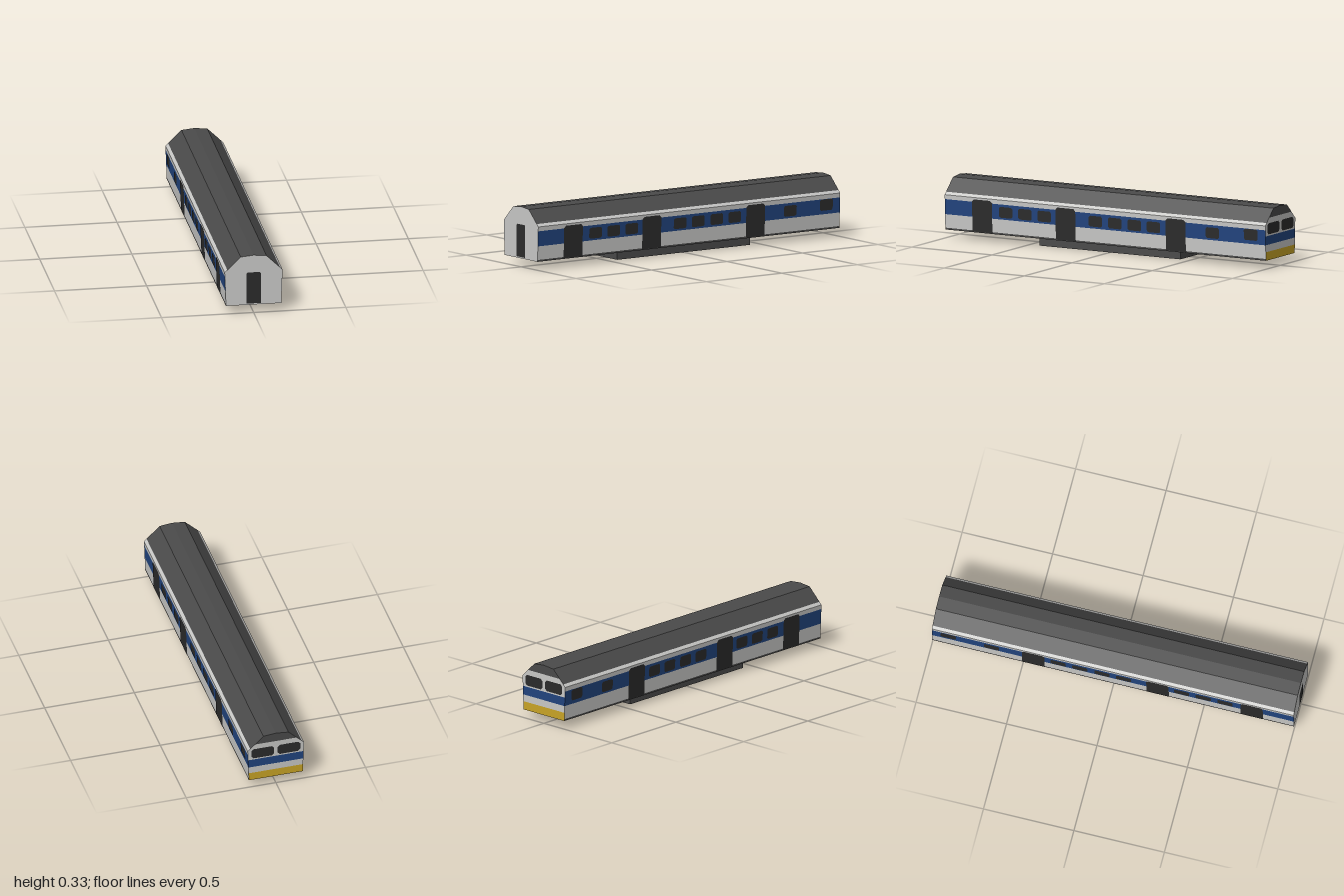
import * as THREE from 'three';

const material = (name, color) => new THREE.MeshStandardMaterial({ name, color });

// Half of the cross-section, from the sill to the ridge: [half width, height]
const PROFILE = [[0.15, 0.046], [0.157, 0.236], [0.07, 0.32], [0, 0.327]];
const SILL = 0.046, RIDGE = 0.327;

function halfWidth(y) {
  for (let i = 1; i < PROFILE.length; i++) {
    const [xa, ya] = PROFILE[i - 1], [xb, yb] = PROFILE[i];
    if (y <= yb) return xa + (xb - xa) * (y - ya) / (yb - ya);
  }
  return 0;
}

// Heights from y0 to y1, including the profile corners between them
const levels = (y0, y1) => [y0, ...PROFILE.map(p => p[1]).filter(y => y > y0 + 1e-4 && y < y1 - 1e-4), y1];

// Body skin along both sides between two heights
function skinBand(y0, y1) {
  const pos = [], ys = levels(y0, y1);
  for (const s of [1, -1]) {
    for (let i = 1; i < ys.length; i++) {
      const a = [s * halfWidth(ys[i - 1]), ys[i - 1]], b = [s * halfWidth(ys[i]), ys[i]];
      const p = [[...a, s], [...a, -s], [...b, -s], [...b, s]];
      for (const k of [0, 1, 2, 0, 2, 3]) pos.push(...p[k]);
    }
  }
  const geo = new THREE.BufferGeometry();
  geo.setAttribute('position', new THREE.Float32BufferAttribute(pos, 3));
  geo.computeVertexNormals();
  return geo;
}

// Flat slice of the cross-section between two heights, facing +z
function endSlice(y0, y1) {
  const ys = levels(y0, y1);
  const right = ys.map(y => new THREE.Vector2(halfWidth(y), y));
  const left = ys.map(y => new THREE.Vector2(-halfWidth(y), y)).reverse();
  if (halfWidth(y1) === 0) left.shift();
  return new THREE.ShapeGeometry(new THREE.Shape([...right, ...left]));
}

// Rectangle with cut corners: c at the top, d at the bottom
function panel(x0, x1, y0, y1, c, d = c) {
  const pts = [[x0 + d, y0], [x1 - d, y0], [x1, y0 + d], [x1, y1 - c],
    [x1 - c, y1], [x0 + c, y1], [x0, y1 - c], [x0, y0 + d]];
  return new THREE.ShapeGeometry(new THREE.Shape(pts.map(p => new THREE.Vector2(...p))));
}

// Lay a panel drawn in (along, height) onto the sloping wall on side s
function onWall(geo, s) {
  const p = geo.attributes.position;
  for (let i = 0; i < p.count; i++) {
    const along = p.getX(i), y = p.getY(i);
    p.setXYZ(i, s * (halfWidth(y) + 0.002), y, along);
  }
  if (s > 0) { // keep the outside facing out
    const idx = geo.index.array;
    for (let i = 0; i < idx.length; i += 3) [idx[i], idx[i + 1]] = [idx[i + 1], idx[i]];
  }
  geo.computeVertexNormals();
  return geo;
}

export function createModel() {
  const light = material('light grey', 0xc8c8c6);
  const blue = material('blue', 0x21447e);
  const yellow = material('yellow', 0xc8a426);
  const roof = material('roof grey', 0x4a4a4a);
  const dark = material('dark glass', 0x2b2b2b);

  const model = new THREE.Group();
  model.name = 'railCarriage';
  const add = (name, geo, mat, parent = model) => {
    const mesh = new THREE.Mesh(geo, mat);
    mesh.name = name;
    parent.add(mesh);
    return mesh;
  };

  // Side walls and roof
  add('sillStrip', skinBand(SILL, 0.056), roof);
  add('lowerWall', skinBand(0.056, 0.13), light);
  add('blueBand', skinBand(0.13, 0.212), blue);
  add('upperWall', skinBand(0.212, 0.25), light);
  add('roof', skinBand(0.25, RIDGE), roof);
  const floor = add('floor', new THREE.PlaneGeometry(0.3, 2), light);
  floor.rotation.x = Math.PI / 2;
  floor.position.y = SILL;

  // Underfloor equipment box
  add('underfloorBox', new THREE.BoxGeometry(0.212, 0.043, 0.88), roof).position.y = 0.0215;

  // Front end with its gangway door
  add('frontEnd', endSlice(SILL, RIDGE), light).position.z = 1;
  add('gangwayDoor', panel(-0.039, 0.039, 0.053, 0.23, 0.006, 0), dark).position.z = 1.001;

  // Cab end: coloured slices and two windscreens
  const cab = new THREE.Group();
  cab.name = 'cabEnd';
  cab.rotation.y = Math.PI;
  cab.position.z = -1;
  model.add(cab);
  add('cabYellowPanel', endSlice(SILL, 0.092), yellow, cab);
  add('cabLowerPanel', endSlice(0.092, 0.13), light, cab);
  add('cabBlueBand', endSlice(0.13, 0.178), blue, cab);
  add('cabUpperPanel', endSlice(0.178, 0.275), light, cab);
  add('cabRoofCap', endSlice(0.275, RIDGE), roof, cab);
  for (const [x0, x1] of [[-0.136, -0.01], [0.01, 0.136]]) {
    add('windscreen', panel(x0, x1, 0.186, 0.246, 0.012), dark, cab).position.z = 0.001;
  }

  // Doors and windows, the same on both sides
  const doors = [0.767, 0.247, -0.44];
  const windows = [0.62, 0.5, 0.38, 0.06, -0.06, -0.183, -0.302, -0.67];
  for (const s of [1, -1]) {
    for (const z of doors) {
      add('sideDoor', onWall(panel(z - 0.062, z + 0.062, 0.05, 0.226, 0.012, 0), s), dark);
    }
    for (const z of windows) {
      add('sideWindow', onWall(panel(z - 0.042, z + 0.042, 0.14, 0.199, 0.008), s), dark);
    }
    add('cabSideWindow', onWall(panel(-0.951, -0.866, 0.15, 0.211, 0.008), s), dark);
  }
  return model;
}
